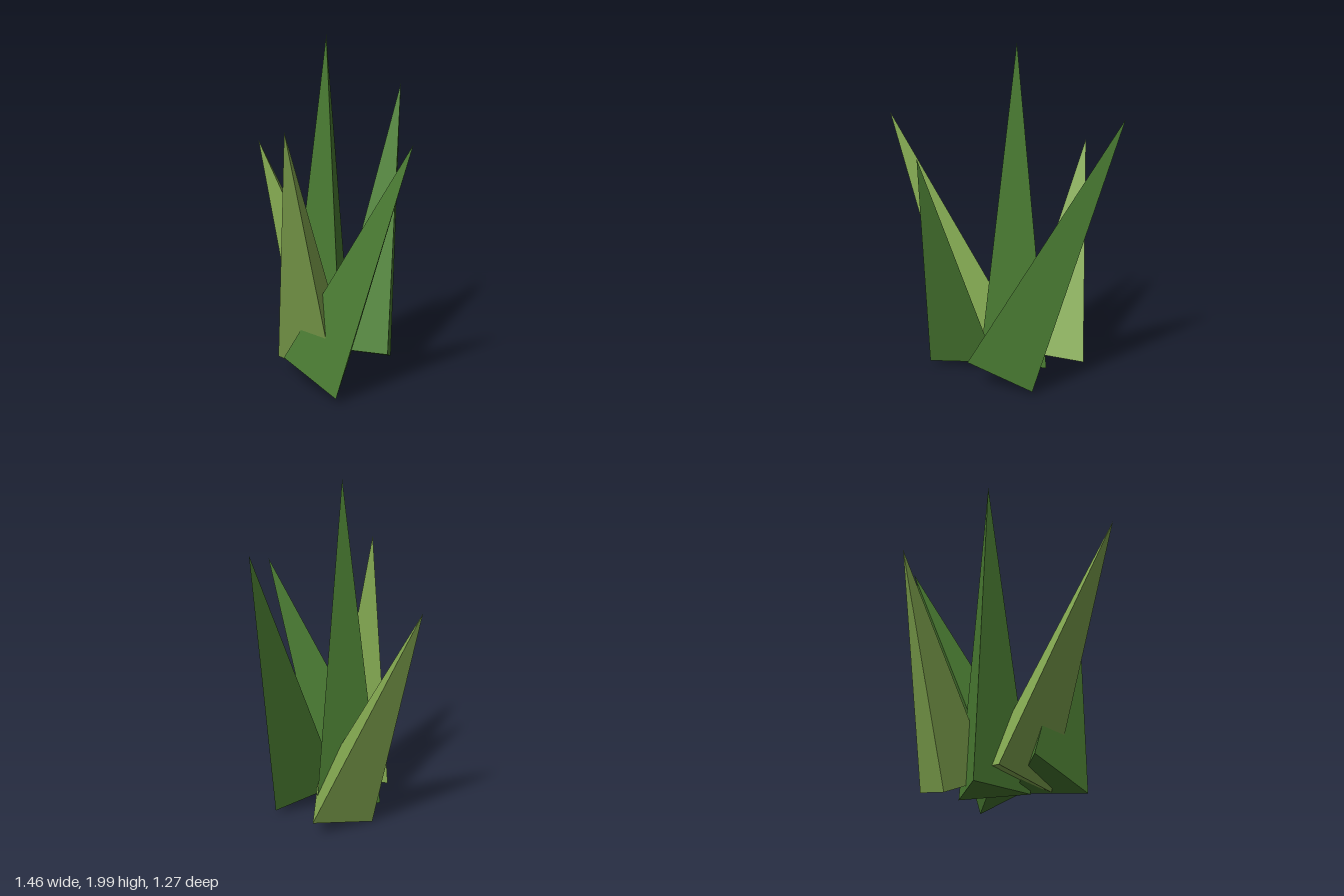
import * as THREE from 'three';

const RADIUS = 0.24; // every blade has the same three-sided base

// name, colour, tip, centre of the base, one corner of the base
const DARK = 0x4a7c32, LIGHT = 0x85ab52;
const BLADES = [
  ['centreBlade', DARK, [-0.012, 2.0, -0.043], [-0.012, 0.05, -0.043], [0.23, 0.05, -0.043]],
  ['leftBlade', DARK, [0.73, 1.68, -0.04], [0.097, 0.119, 0.199], [-0.005, 0.19, 0.405]],
  ['frontBlade', DARK, [-0.125, 1.455, 0.635], [-0.271, 0.094, 0.137], [-0.03, 0.07, 0.133]],
  ['rightBlade', LIGHT, [-0.73, 1.555, 0.277], [-0.149, 0.125, 0.002], [-0.276, 0.113, -0.207]],
  ['backBlade', LIGHT, [0.043, 1.34, -0.637], [0.173, 0.093, -0.138], [0.412, 0.12, -0.179]],
];

// A three-sided cone standing on its base centre, leaning to its tip and
// rolled so that one base edge line points at the given corner
function makeBlade(name, color, tip, base, corner) {
  const t = new THREE.Vector3(...tip);
  const b = new THREE.Vector3(...base);
  const axis = t.clone().sub(b);
  const height = axis.length();
  axis.normalize();
  const out = new THREE.Vector3(...corner).sub(b);
  out.addScaledVector(axis, -out.dot(axis)).normalize();
  const side = new THREE.Vector3().crossVectors(axis, out);

  const geometry = new THREE.ConeGeometry(RADIUS, height, 3);
  geometry.translate(0, height / 2, 0);
  const material = new THREE.MeshStandardMaterial({ color, flatShading: true });
  const blade = new THREE.Mesh(geometry, material);
  blade.name = name;
  blade.quaternion.setFromRotationMatrix(new THREE.Matrix4().makeBasis(side, axis, out));
  blade.position.copy(b);
  return blade;
}

export function createModel() {
  const plant = new THREE.Group();
  plant.name = 'grassTuft';
  for (const blade of BLADES) plant.add(makeBlade(...blade));
  return plant;
}
